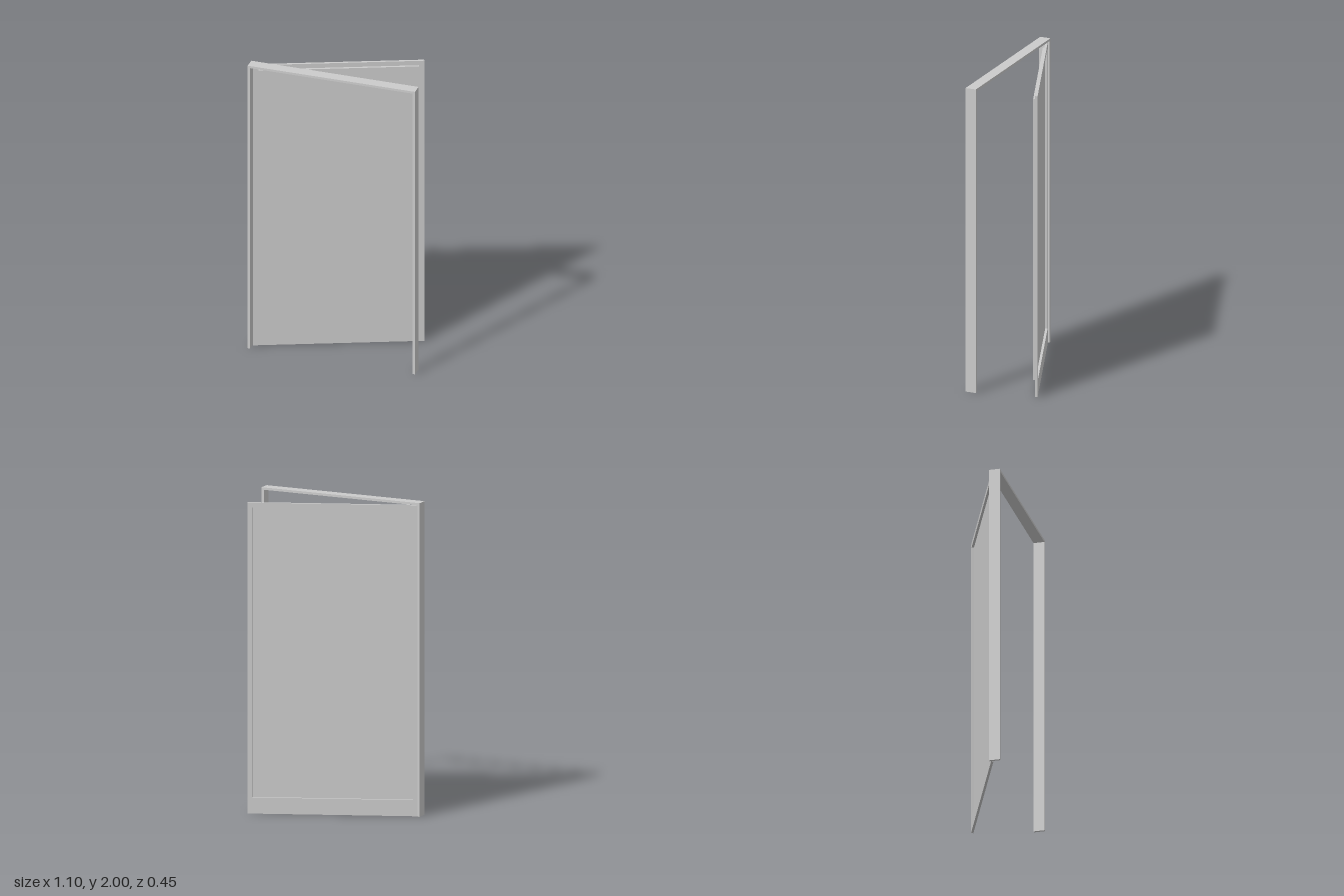
import * as THREE from 'three';

const mat = new THREE.MeshStandardMaterial({ color: 0xcccccc, flatShading: true });

const T = 0.015;              // board thickness
const HALF_W = 0.55;          // half width of the door frame
const DOOR_W = 1.07, DOOR_H = 1.983;
const PANEL = { x0: 0.033, x1: 1.037, y0: 0.103, y1: 1.952 };

// Box given by its lower and upper corners
function box(name, [x0, y0, z0], [x1, y1, z1]) {
  const geo = new THREE.BoxGeometry(x1 - x0, y1 - y0, z1 - z0);
  geo.translate((x0 + x1) / 2, (y0 + y1) / 2, (z0 + z1) / 2);
  const mesh = new THREE.Mesh(geo, mat);
  mesh.name = name;
  return mesh;
}

// Flat board with the outline of a list of points, with an optional hole
function board(name, points, hole) {
  const toVec = (list) => list.map(([x, y]) => new THREE.Vector2(x, y));
  const shape = new THREE.Shape(toVec(points));
  if (hole) shape.holes.push(new THREE.Path(toVec(hole)));
  const mesh = new THREE.Mesh(
    new THREE.ExtrudeGeometry(shape, { depth: T, bevelEnabled: false }), mat);
  mesh.name = name;
  return mesh;
}

const rect = (x0, y0, x1, y1) => [[x0, y0], [x1, y0], [x1, y1], [x0, y1]];

export function createModel() {
  const model = new THREE.Group();
  model.name = 'openDoor';

  // Door frame: one upside-down U, open at the floor
  const inner = HALF_W - T;
  const frame = board('doorFrame', [
    [-HALF_W, 0], [-inner, 0], [-inner, 2 - T], [inner, 2 - T],
    [inner, 0], [HALF_W, 0], [HALF_W, 2], [-HALF_W, 2],
  ]);
  frame.scale.z = 0.07 / T;
  frame.position.z = 0.155;
  model.add(frame);

  // Door leaf, swung backwards about its hinge edge
  const door = new THREE.Group();
  door.name = 'doorLeaf';
  door.position.set(-0.535, 0, 0.165);
  door.rotation.y = THREE.MathUtils.degToRad(21.6);

  // Surround at the back, with the panel set forward of its opening
  const { x0, x1, y0, y1 } = PANEL;
  door.add(board('doorSurround', rect(0, 0, DOOR_W, DOOR_H), rect(x0, y0, x1, y1)));
  door.add(box('doorPanel', [x0, y0, T], [x1, y1, 2 * T]));
  model.add(door);

  return model;
}
